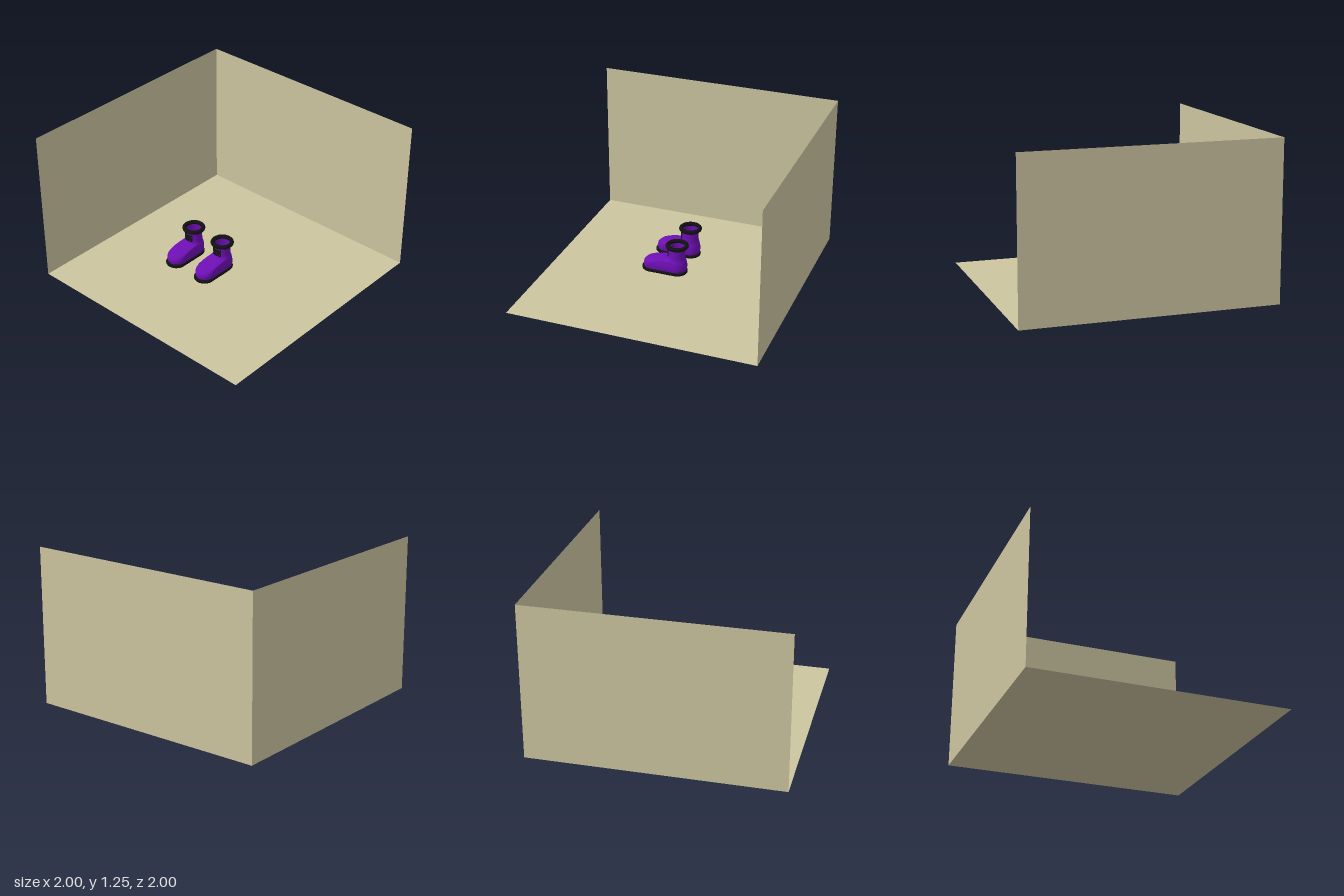
import * as THREE from 'three';

const purple = new THREE.MeshStandardMaterial({ color: 0x6e0fb4, side: THREE.DoubleSide });
const black = new THREE.MeshStandardMaterial({ color: 0x111111 });
const tan = new THREE.MeshStandardMaterial({ color: 0xccc5a0, side: THREE.DoubleSide });

function part(name, geometry, material, parent) {
  const mesh = new THREE.Mesh(geometry, material);
  mesh.name = name;
  parent.add(mesh);
  return mesh;
}

// Upper: horizontal stadium-shaped sections, [y, toe x, heel x, half width]
function upperGeometry() {
  const sections = [
    [0.022, -0.272, 0.074, 0.074], [0.04, -0.279, 0.08, 0.079], [0.06, -0.279, 0.082, 0.081],
    [0.08, -0.274, 0.081, 0.08], [0.097, -0.255, 0.079, 0.078], [0.11, -0.215, 0.076, 0.075],
    [0.117, -0.17, 0.074, 0.073], [0.121, -0.12, 0.073, 0.071], [0.126, -0.085, 0.071, 0.069],
    [0.14, -0.072, 0.068, 0.067], [0.17, -0.068, 0.066, 0.066], [0.245, -0.067, 0.066, 0.066],
  ];
  const half = 16, ring = 2 * (half + 1);
  const pos = [], idx = [];
  for (const [y, toe, heel, w] of sections) {
    const heelMid = heel - w, toeMid = Math.min(toe + w, heelMid);
    for (let i = 0; i < ring; i++) {
      const back = i <= half;
      const a = back ? -Math.PI / 2 + (i / half) * Math.PI
        : Math.PI / 2 + ((i - half - 1) / half) * Math.PI;
      pos.push((back ? heelMid : toeMid) + Math.cos(a) * w, y, Math.sin(a) * w);
    }
  }
  for (let s = 0; s < sections.length - 1; s++) {
    for (let i = 0; i < ring; i++) {
      const a = s * ring + i, b = s * ring + (i + 1) % ring;
      idx.push(a, a + ring, b, b, a + ring, b + ring);
    }
  }
  const g = new THREE.BufferGeometry();
  g.setAttribute('position', new THREE.Float32BufferAttribute(pos, 3));
  g.setIndex(idx);
  g.computeVertexNormals();
  return g;
}

// Sole: stadium outline with a rounded rim, lying flat
function soleGeometry() {
  const bevel = 0.012, r = 0.084 - bevel, heel = 0.085 - bevel, toe = -0.293 + bevel;
  const shape = new THREE.Shape();
  shape.absarc(heel - r, 0, r, -Math.PI / 2, Math.PI / 2);
  shape.absarc(toe + r, 0, r, Math.PI / 2, Math.PI * 1.5);
  const g = new THREE.ExtrudeGeometry(shape, {
    depth: 0.006, bevelSize: bevel, bevelThickness: bevel, bevelSegments: 5, curveSegments: 20,
  });
  g.rotateX(-Math.PI / 2);
  g.translate(0, bevel + 0.002, 0);
  return g;
}

function createBoot(name) {
  const boot = new THREE.Group();
  boot.name = name;
  part('upper', upperGeometry(), purple, boot);
  part('sole', soleGeometry(), black, boot);

  // Padded cuff round the open top
  const cuff = part('cuff', new THREE.TorusGeometry(0.076, 0.017, 12, 40), black, boot);
  cuff.rotation.x = Math.PI / 2;
  cuff.position.y = 0.242;

  // Laces wrap the front of the shaft
  const arc = 1.2;
  for (let i = 0; i < 4; i++) {
    const g = new THREE.TorusGeometry(0.071, 0.006, 8, 14, arc);
    g.rotateZ(Math.PI - arc / 2);
    g.rotateX(Math.PI / 2);
    part('lace', g, black, boot).position.y = 0.153 + i * 0.016;
  }
  return boot;
}

export function createModel() {
  const model = new THREE.Group();
  model.name = 'bootsInRoomCorner';

  // Room corner: floor and two thin walls
  const floor = part('floor', new THREE.PlaneGeometry(2, 2), tan, model);
  floor.rotation.x = -Math.PI / 2;
  const backWall = part('backWall', new THREE.PlaneGeometry(2, 1.25), tan, model);
  backWall.position.set(0, 0.625, -1);
  const sideWall = part('leftWall', new THREE.PlaneGeometry(2, 1.25), tan, model);
  sideWall.rotation.y = -Math.PI / 2;
  sideWall.position.set(1, 0.625, 0);

  // Pair of boots, toes towards -x
  for (const [name, z] of [['frontBoot', -0.032], ['backBoot', -0.34]]) {
    const boot = createBoot(name);
    boot.position.z = z;
    model.add(boot);
  }
  return model;
}
